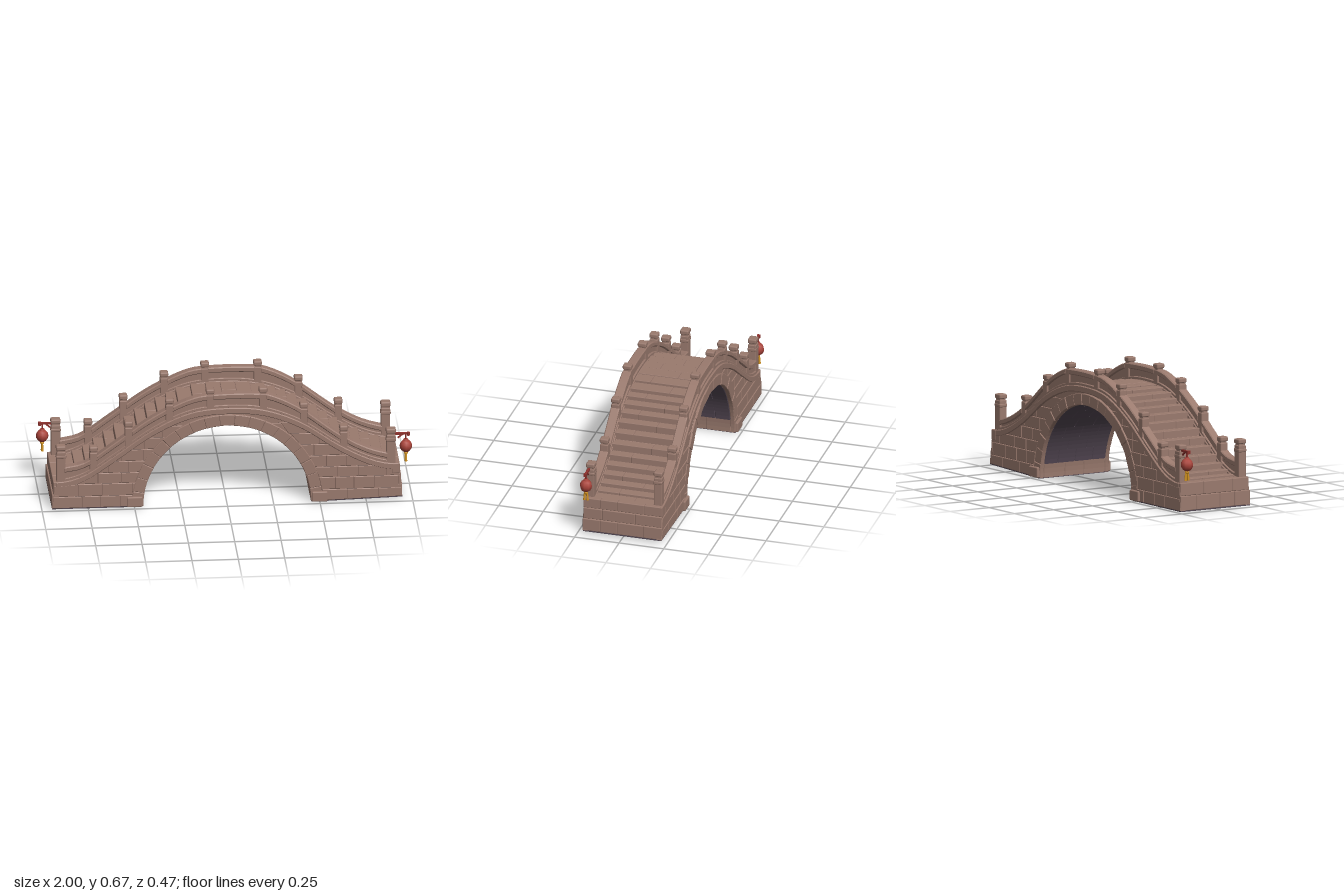
import * as THREE from 'three';
import { RoundedBoxGeometry } from 'three/addons/geometries/RoundedBoxGeometry.js';

const paint = (name, color) => {
  const material = new THREE.MeshStandardMaterial({ color });
  material.name = name;
  return material;
};
const stone = paint('stone', 0x9a7a6e);
const darkStone = paint('dark underside stone', 0x544854);
const red = paint('lantern red', 0xaa443b);
const darkRed = paint('bracket dark red', 0x8e312d);
const gold = paint('tassel gold', 0xd2921f);

// Smooth height function y(x) through a few points
function heightCurve(points) {
  const samples = new THREE.SplineCurve(points.map(p => new THREE.Vector2(...p))).getPoints(240);
  return x => {
    let i = 1;
    while (i < samples.length - 1 && samples[i].x < x) i++;
    const a = samples[i - 1], b = samples[i];
    return a.y + (b.y - a.y) * THREE.MathUtils.clamp((x - a.x) / (b.x - a.x), 0, 1);
  };
}
const ledgeY = heightCurve([[-0.95, 0.132], [-0.86, 0.137], [-0.75, 0.178], [-0.6, 0.28], [-0.4, 0.42], [-0.2, 0.512],
  [0, 0.535], [0.2, 0.518], [0.4, 0.44], [0.6, 0.305], [0.75, 0.225], [0.86, 0.19], [0.95, 0.185]]);
const railY = heightCurve([[-0.95, 0.235], [-0.86, 0.24], [-0.75, 0.27], [-0.6, 0.375], [-0.4, 0.515], [-0.2, 0.613],
  [-0.06, 0.635], [0.15, 0.635], [0.25, 0.618], [0.4, 0.54], [0.6, 0.39], [0.75, 0.305], [0.88, 0.265], [0.95, 0.26]]);
const deckY = x => ledgeY(x) + 0.02;

const INNER = 0.452, OUTER = 0.515, BASE = 0.004; // arch ring radii and spring height
const seeded = n => { const v = Math.sin(n * 12.9898) * 43758.5453; return v - Math.floor(v); };

function add(parent, name, geometry, material, x = 0, y = 0, z = 0) {
  const mesh = new THREE.Mesh(geometry, material);
  mesh.name = name;
  mesh.position.set(x, y, z);
  parent.add(mesh);
  return mesh;
}

// Outline in the xy plane, extruded between two z values, with optional chamfer
function slab(parent, name, pts, z0, z1, bevel = 0, material = stone) {
  const clean = pts.filter((p, i) => {
    const q = pts[(i + 1) % pts.length];
    return Math.hypot(p[0] - q[0], p[1] - q[1]) > 0.002;
  });
  if (clean.length < 3) return;
  const shape = new THREE.Shape(clean.map(p => new THREE.Vector2(...p)));
  if (Math.abs(THREE.ShapeUtils.area(shape.getPoints())) < 0.0005) return;
  const geometry = new THREE.ExtrudeGeometry(shape, {
    depth: z1 - z0 - 2 * bevel, bevelEnabled: bevel > 0, bevelThickness: bevel,
    bevelSize: bevel, bevelOffset: -bevel, bevelSegments: 1, curveSegments: 1,
  });
  add(parent, name, geometry, material, 0, 0, z0 + bevel);
}

// Curved strip between two height functions
function band(parent, name, low, high, x0, x1, z0, z1, bevel = 0) {
  const n = Math.max(4, Math.round((x1 - x0) / 0.04)), bottom = [], top = [];
  for (let i = 0; i <= n; i++) {
    const x = x0 + (x1 - x0) * i / n;
    bottom.push([x, low(x)]);
    top.unshift([x, high(x)]);
  }
  slab(parent, name, [...bottom, ...top], z0, z1, bevel);
}

function box(parent, name, w, h, d, x, y, z, r = 0.005) {
  return add(parent, name, new RoundedBoxGeometry(w, h, d, 1, r), stone, x, y, z);
}

// Solid filling with dark plates under both abutments
function buildCore(parent) {
  const pts = [[-0.935, 0.006]];
  for (let i = 0; i <= 40; i++) { const x = -0.915 + i * 0.04575; pts.push([x, ledgeY(x)]); }
  pts.push([0.935, 0.021], [0.47, 0.006]);
  for (let i = 1; i <= 32; i++) {
    const a = Math.PI * i / 32;
    pts.push([0.47 * Math.cos(a), 0.006 + 0.47 * Math.sin(a)]);
  }
  slab(parent, 'masonryCore', pts, -0.207, 0.207);
  slab(parent, 'underside', [[-0.945, 0], [-0.456, 0], [-0.456, 0.006], [-0.945, 0.006]], -0.22, 0.22, 0, darkStone);
  slab(parent, 'underside', [[0.456, 0], [0.945, 0.015], [0.945, 0.021], [0.456, 0.006]], -0.22, 0.22, 0, darkStone);
}

// Arch stones: light faces and springers, dark vault stones between
function buildArch(parent) {
  const n = 19;
  for (let i = 0; i < n; i++) {
    const pts = [];
    const arc = (radius, k) => {
      const a = Math.PI * (i + k / 3) / n;
      pts.push([radius * Math.cos(a), BASE + radius * Math.sin(a)]);
    };
    for (let k = 0; k <= 3; k++) arc(INNER, k);
    for (let k = 3; k >= 0; k--) arc(OUTER, k);
    const cuts = i % 2 ? [-0.219, -0.195, -0.11, 0, 0.11, 0.195, 0.219] : [-0.221, -0.195, -0.06, 0.06, 0.195, 0.221];
    for (let k = 1; k < cuts.length; k++) {
      const vault = k > 1 && k < cuts.length - 1 && i > 0 && i < n - 1;
      slab(parent, vault ? 'vaultStone' : 'archStone', pts, cuts[k - 1], cuts[k], 0.003, vault ? darkStone : stone);
    }
  }
}

// Coursed side bricks trimmed to the arch, the ledge and the sloping ends
function buildSideBricks(parent) {
  const rows = [0.005, 0.07, 0.14, 0.2, 0.265, 0.33, 0.395, 0.46, 0.54];
  for (const side of [-1, 1]) for (let r = 0; r + 1 < rows.length; r++) {
    let a = r % 2 ? -0.06 : 0;
    for (let i = 0; a < 0.95; i++) {
      const b = a + 0.1 + 0.07 * seeded(r * 17 + i + side * 5);
      const corner = (x, y) => {
        x = Math.max(x, y < OUTER ? Math.sqrt(OUTER * OUTER - y * y) : 0);
        x = Math.min(x, 0.946 - 0.1 * y) * side;
        const floor = side > 0 ? 0.005 + Math.max(0, 0.031 * (x - 0.456)) : 0;
        return [x, Math.max(floor, Math.min(y, ledgeY(x)))];
      };
      const bottom = [], top = [];
      for (let k = 0; k <= 4; k++) {
        const x = a + (b - a) * k / 4;
        bottom.push(corner(x, rows[r]));
        top.unshift(corner(x, rows[r + 1]));
      }
      const z = 0.224 - 0.018 * rows[r] / 0.5;
      slab(parent, 'sideBrick', [...bottom, ...top], 0.19, z, 0.003);
      slab(parent, 'sideBrick', [...bottom, ...top], -z, -0.19, 0.003);
      a = b;
    }
  }
}

// Large blocks across both ends, and the foot slabs beside the arch
function buildEnds(parent) {
  for (const [side, rows] of [[-1, [0.005, 0.085, 0.155]], [1, [0.02, 0.09, 0.152, 0.208]]]) {
    for (let r = 0; r + 1 < rows.length; r++) {
      const cuts = r % 2 ? [-0.219, -0.07, 0.115, 0.219] : [-0.222, -0.12, 0.03, 0.125, 0.222];
      const y = (rows[r] + rows[r + 1]) / 2;
      for (let k = 1; k < cuts.length; k++) {
        box(parent, 'endBlock', 0.04, rows[r + 1] - rows[r], cuts[k] - cuts[k - 1],
          side * (0.93 - 0.1 * y), y, (cuts[k] + cuts[k - 1]) / 2, 0.004);
      }
    }
    for (const z of [-1, 1]) box(parent, 'footSlab', 0.085, 0.057, 0.05, side * 0.499, 0.0325, z * 0.211, 0.006);
  }
}

// Stepped deck: fine treads on the slopes, broad slabs over the crown
function buildDeck(parent) {
  let x = -0.922;
  for (let i = 0; x < 0.915; i++) {
    const w = Math.min(Math.abs(x + 0.03) < 0.24 ? 0.08 : 0.056, 0.922 - x);
    const y = deckY(x + w / 2);
    const cut = (i % 2 ? -0.05 : 0.06) + 0.04 * (seeded(i) - 0.5);
    for (const [z0, z1] of [[-0.172, cut], [cut, 0.172]]) {
      box(parent, 'tread', w, 0.07, z1 - z0, x + w / 2, y - 0.035, (z0 + z1) / 2, 0.003);
    }
    x += w;
  }
}

// Post with a shaft, narrow neck and rounded cap
function buildPost(parent, x, bottom, top, z, end) {
  const post = new THREE.Group();
  post.name = end ? 'endPost' : 'railPost';
  post.position.set(x, 0, z);
  const w = end ? 0.05 : 0.042, shaftTop = top - 0.034;
  box(post, 'shaft', w, shaftTop - bottom, 0.046, 0, (shaftTop + bottom) / 2, 0, 0.005);
  box(post, 'neck', w - 0.008, 0.02, 0.037, 0, top - 0.03, 0, 0.003);
  box(post, 'cap', w + 0.004, 0.027, 0.049, 0, top - 0.0135, 0, 0.008);
  if (end) box(post, 'collar', w + 0.006, 0.02, 0.05, 0, top - 0.062, 0, 0.006);
  parent.add(post);
}

function buildRailing(parent, side) {
  const rail = new THREE.Group();
  rail.name = side > 0 ? 'frontRailing' : 'backRailing';
  const span = (a, b) => side > 0 ? [a, b] : [-b, -a];
  const posts = [[-0.895, 0.36], [-0.72, 0.35], [-0.53, 0.49], [-0.31, 0.615], [-0.09, 0.665],
    [0.195, 0.665], [0.415, 0.57], [0.63, 0.43], [0.885, 0.405]];
  band(rail, 'ledge', x => ledgeY(x) - 0.012, x => deckY(x) + 0.003, -0.925, 0.925, ...span(0.163, 0.221), 0.004);
  posts.forEach(([x, top], i) => {
    const end = i === 0 || i === posts.length - 1;
    buildPost(rail, x, deckY(x) - 0.015, top, side * 0.19, end);
    if (!i) return;
    const from = posts[i - 1][0] + 0.015, to = x - 0.015;
    band(rail, 'lowerRail', deckY, x => deckY(x) + 0.018, from, to, ...span(0.168, 0.213), 0.003);
    band(rail, 'panel', deckY, x => railY(x) - 0.02, from, to, ...span(0.177, 0.204));
    band(rail, 'coping', x => railY(x) - 0.03, railY, from, to, ...span(0.166, 0.215), 0.005);
  });
  parent.add(rail);
}

// Lantern hanging from a bracket on an end post
function buildLantern(parent, side, armY) {
  const g = new THREE.Group();
  g.name = side > 0 ? 'leftLantern' : 'rightLantern';
  g.position.set(side * 0.966, armY, side * 0.196);
  add(g, 'bracket', new THREE.BoxGeometry(0.085, 0.011, 0.012), darkRed, -side * 0.022, 0.004, 0);
  add(g, 'bracketTip', new THREE.BoxGeometry(0.014, 0.018, 0.018), darkRed, side * 0.014, 0.002, 0);
  const brace = add(g, 'brace', new THREE.BoxGeometry(0.034, 0.007, 0.009), darkRed, -side * 0.03, -0.009, 0);
  brace.rotation.z = side * 0.7;
  add(g, 'hanger', new THREE.CylinderGeometry(0.005, 0.005, 0.04, 6), darkRed, 0, -0.016, 0);
  add(g, 'lanternBody', new THREE.SphereGeometry(0.034, 8, 8).scale(1, 1.06, 1), red, 0, -0.067, 0);
  add(g, 'lanternTop', new THREE.CylinderGeometry(0.012, 0.015, 0.008, 8), red, 0, -0.031, 0);
  add(g, 'tasselKnot', new THREE.SphereGeometry(0.011, 8, 6), gold, 0, -0.108, 0);
  for (const s of [-1, 1]) {
    const strand = add(g, 'tassel', new THREE.CylinderGeometry(0.005, 0.007, 0.044, 8), gold, 0, -0.131, s * 0.008);
    strand.rotation.x = -s * 0.06;
  }
  parent.add(g);
}

export function createModel() {
  const bridge = new THREE.Group();
  bridge.name = 'archBridge';
  for (const [name, build] of [['core', buildCore], ['arch', buildArch], ['sideWalls', buildSideBricks],
    ['ends', buildEnds], ['deck', buildDeck]]) {
    const part = new THREE.Group();
    part.name = name;
    build(part);
    bridge.add(part);
  }
  for (const side of [-1, 1]) buildRailing(bridge, side);
  buildLantern(bridge, 1, 0.368);
  buildLantern(bridge, -1, 0.326);
  return bridge;
}
